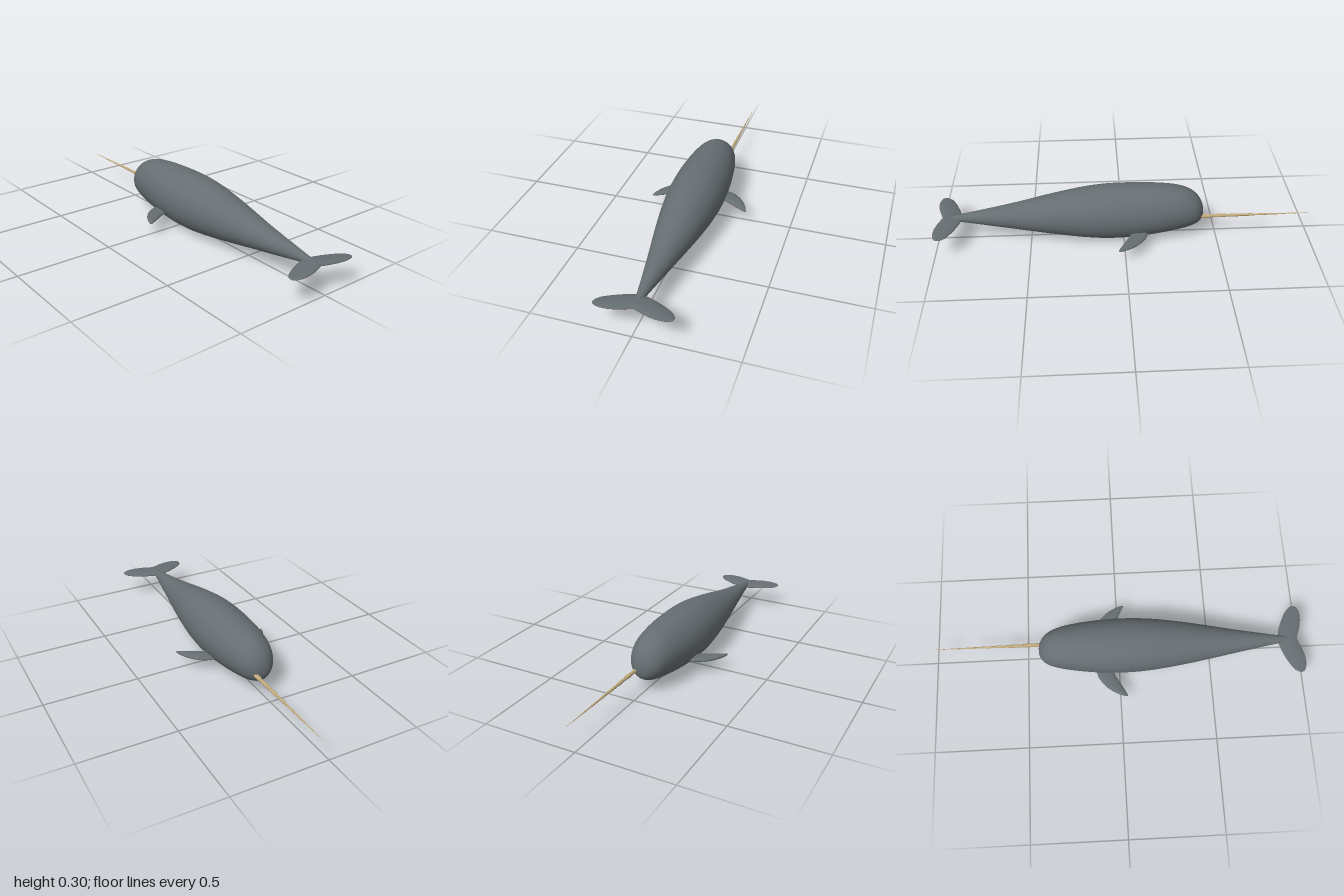
import * as THREE from 'three';

const skin = new THREE.MeshStandardMaterial({ color: 0x666e72 });
skin.name = 'slateSkin';
const ivory = new THREE.MeshStandardMaterial({ color: 0xc0aa7c });
ivory.name = 'ivory';

// Skin a closed surface over rings of points (first and last rings nearly shrink to a point)
function loft(name, rings, material) {
  const n = rings[0].length, index = [];
  for (let i = 0; i < rings.length - 1; i++) {
    for (let j = 0; j < n; j++) {
      const a = i * n + j, b = i * n + (j + 1) % n;
      index.push(a, b, a + n, b, b + n, a + n);
    }
  }
  const geometry = new THREE.BufferGeometry();
  geometry.setAttribute('position', new THREE.Float32BufferAttribute(rings.flat(2), 3));
  geometry.setIndex(index);
  geometry.computeVertexNormals();
  const mesh = new THREE.Mesh(geometry, material);
  mesh.name = name;
  return mesh;
}

const ring = (n, f) => Array.from({ length: n }, (_, j) => f(j / n * Math.PI * 2));

// Smooth a table of [position, value, value, value, value] rows
function smoothRows(rows, steps) {
  const a = new THREE.CatmullRomCurve3(rows.map(r => new THREE.Vector3(r[0], r[1], r[2])), false, 'catmullrom');
  const b = new THREE.CatmullRomCurve3(rows.map(r => new THREE.Vector3(r[0], r[3], r[4] ?? 0)), false, 'catmullrom');
  return Array.from({ length: steps + 1 }, (_, i) => {
    const p = a.getPoint(i / steps), q = b.getPoint(i / steps);
    return [p.x, p.y, p.z, q.y, q.z];
  });
}

// Body: x, top, bottom, half width
function makeBody() {
  const rows = smoothRows([
    [-0.43, 0.136, 0.134, 0.001], [-0.427, 0.165, 0.105, 0.028], [-0.415, 0.2, 0.082, 0.052],
    [-0.39, 0.235, 0.064, 0.078], [-0.35, 0.264, 0.05, 0.098], [-0.29, 0.284, 0.037, 0.115],
    [-0.2, 0.295, 0.022, 0.13], [-0.1, 0.299, 0.01, 0.141], [0, 0.3, 0.002, 0.145],
    [0.1, 0.297, 0.001, 0.143], [0.2, 0.286, 0.009, 0.135], [0.3, 0.268, 0.022, 0.122],
    [0.4, 0.247, 0.037, 0.106], [0.5, 0.224, 0.053, 0.088], [0.6, 0.202, 0.069, 0.069],
    [0.7, 0.183, 0.084, 0.051], [0.8, 0.165, 0.1, 0.033], [0.88, 0.15, 0.113, 0.02],
    [0.93, 0.141, 0.121, 0.009], [0.95, 0.132, 0.13, 0.001],
  ], 80);
  return loft('body', rows.map(([x, top, bottom, w]) => ring(48, a =>
    [x, (top + bottom) / 2 + (top - bottom) / 2 * Math.cos(a), w * Math.sin(a)])), skin);
}

// Fin: z, leading x, trailing x, centre y, half thickness; tilt lifts the trailing edge
function makeFin(name, table, side, tilt) {
  const rows = smoothRows(table, 30);
  return loft(name, rows.map(([z, front, back, y, t]) => ring(28, a => {
    const dx = (back - front) / 2 * Math.cos(a);
    return [(front + back) / 2 + dx, y + dx * tilt + t * side * Math.sin(a), z * side];
  })), skin);
}

const flipper = [
  [0.08, -0.125, -0.03, 0.077, 0.012], [0.12, -0.123, -0.03, 0.077, 0.0125],
  [0.15, -0.115, -0.02, 0.077, 0.0125], [0.18, -0.097, -0.003, 0.077, 0.0125],
  [0.21, -0.07, 0.014, 0.077, 0.012], [0.235, -0.036, 0.027, 0.077, 0.01],
  [0.252, -0.002, 0.036, 0.077, 0.007], [0.26, 0.02, 0.037, 0.077, 0.004],
  [0.263, 0.031, 0.033, 0.077, 0.0005],
];
const fluke = [
  [0, 0.855, 0.965, 0.13, 0.0125], [0.03, 0.868, 0.976, 0.13, 0.0122],
  [0.07, 0.88, 0.99, 0.13, 0.0115], [0.11, 0.897, 0.998, 0.13, 0.01],
  [0.145, 0.915, 0.999, 0.13, 0.008], [0.17, 0.932, 0.993, 0.13, 0.006],
  [0.185, 0.95, 0.984, 0.13, 0.0035], [0.191, 0.966, 0.97, 0.13, 0.0005],
];

// Tusk: slim tapering spiral, offset to one side of the snout
function makeTusk() {
  const steps = 120;
  const rings = Array.from({ length: steps + 1 }, (_, i) => {
    const u = i / steps, r = 0.0006 + 0.0105 * u;
    return ring(16, a => {
      const k = r * (1 + 0.12 * Math.cos(2 * a - u * 50));
      return [-1 + 0.61 * u, 0.12 + k * Math.cos(a), -0.037 + k * Math.sin(a)];
    });
  });
  return loft('tusk', rings, ivory);
}

export function createModel() {
  const model = new THREE.Group();
  model.name = 'narwhal';
  model.add(makeBody(), makeTusk());
  for (const side of [1, -1]) {
    const label = side > 0 ? 'front' : 'back';
    model.add(makeFin(label + 'Flipper', flipper, side, 0));
    model.add(makeFin(label + 'TailFluke', fluke, side, 0.08));
  }
  return model;
}
